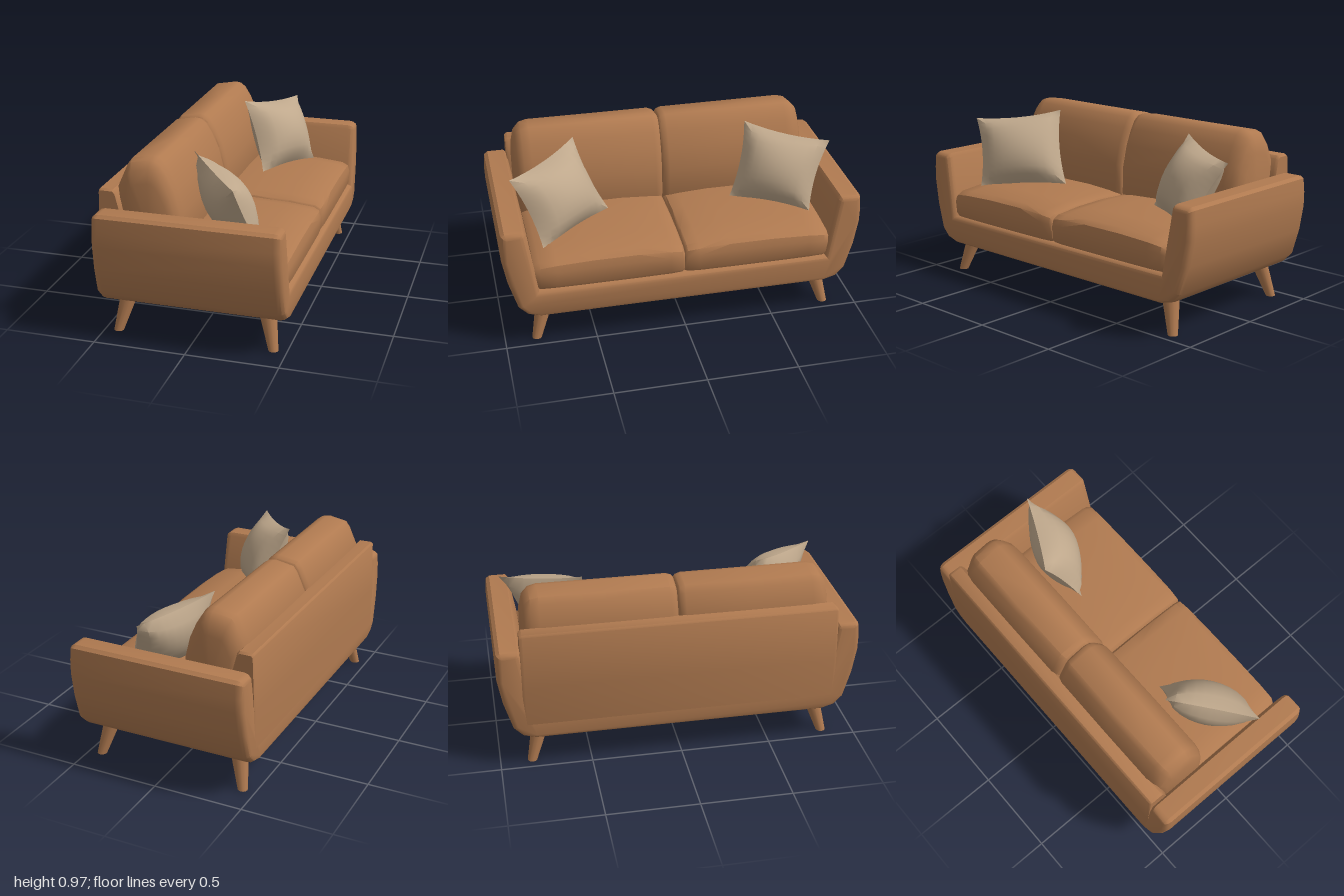
import * as THREE from 'three';
import { toCreasedNormals } from 'three/addons/utils/BufferGeometryUtils.js';

const leather = new THREE.MeshStandardMaterial({ color: 0xb07a50 });
leather.name = 'tan leather';
const linen = new THREE.MeshStandardMaterial({ color: 0xbfa88c });
linen.name = 'beige linen';

function buildGeometry(positions, index, crease) {
  const g = new THREE.BufferGeometry();
  g.setAttribute('position', new THREE.Float32BufferAttribute(positions, 3));
  g.setIndex(index);
  return toCreasedNormals(g, crease);
}

// Lofts a counter-clockwise x-y profile along z. Each station is [z, x scale, y scale];
// side = -1 mirrors the solid across z = 0.
function loft(profile, centre, stations, side = 1) {
  const n = profile.length, pos = [], idx = [];
  const [cx, cy] = centre;
  const tri = (a, b, c) => (side > 0 ? idx.push(a, b, c) : idx.push(a, c, b));
  for (const [z, sx, sy] of stations)
    for (const [x, y] of profile) pos.push(cx + (x - cx) * sx, cy + (y - cy) * sy, z * side);
  const last = stations.length - 1;
  pos.push(cx, cy, stations[0][0] * side, cx, cy, stations[last][0] * side);
  const capA = n * (last + 1), capB = capA + 1;
  for (let j = 0; j < n; j++) {
    const k = (j + 1) % n;
    for (let i = 0; i < last; i++) {
      const a = i * n + j, b = i * n + k;
      tri(a, b, b + n);
      tri(a, b + n, a + n);
    }
    tri(capA, k, j);
    tri(capB, last * n + j, last * n + k);
  }
  return buildGeometry(pos, idx, 0.75);
}

// Stuffed pillow spanned between four corners, pinched along its edges
function pillow(topA, topB, bottomA, bottomB, thickness) {
  const [A, B, C, D] = [topA, topB, bottomA, bottomB].map(p => new THREE.Vector3(...p));
  const across = B.clone().sub(A).add(D).sub(C), down = C.clone().sub(A).add(D).sub(B);
  const normal = across.cross(down).normalize();
  const N = 10, pos = [], idx = [];
  for (const face of [1, -1]) {
    const start = pos.length / 3;
    for (let j = 0; j <= N; j++) for (let i = 0; i <= N; i++) {
      const u = i / N * 2 - 1, v = j / N * 2 - 1;
      const s = (1 + u * (1 - 0.09 * (1 - v * v))) / 2;
      const t = (1 + v * (1 - 0.09 * (1 - u * u))) / 2;
      const bulge = face * thickness * Math.pow((1 - u * u) * (1 - v * v), 0.6);
      const p = A.clone().lerp(B, s).lerp(C.clone().lerp(D, s), t).addScaledVector(normal, bulge);
      pos.push(p.x, p.y, p.z);
    }
    for (let j = 0; j < N; j++) for (let i = 0; i < N; i++) {
      const a = start + j * (N + 1) + i, b = a + 1, c = b + N + 1, d = a + N + 1;
      if (face > 0) idx.push(a, b, c, a, c, d);
      else idx.push(a, c, b, a, d, c);
    }
  }
  return buildGeometry(pos, idx, 0.8);
}

// U-shaped body: base and both arms in one bevelled sweep along x
function frameGeometry() {
  const half = [[0.8, 0.18], [0.87, 0.2], [0.92, 0.25], [0.965, 0.4], [0.99, 0.54], [0.992, 0.62],
    [0.985, 0.695], [0.965, 0.71], [0.87, 0.71], [0.855, 0.69], [0.8, 0.345]];
  const outline = [...half, ...half.map(([z, y]) => [-z, y]).reverse()];
  const shape = new THREE.Shape(outline.map(p => new THREE.Vector2(...p)));
  const g = new THREE.ExtrudeGeometry(shape, {
    depth: 0.93, bevelThickness: 0.04, bevelSize: 0.03, bevelOffset: -0.03, bevelSegments: 3,
  });
  g.translate(0, 0, -0.465).rotateY(Math.PI / 2);
  // The body is a little longer at the bottom than at the top
  const p = g.attributes.position;
  for (let i = 0; i < p.count; i++) p.setX(i, p.getX(i) * (1 + (0.45 - p.getY(i)) * 0.06));
  return toCreasedNormals(g, 0.6);
}

export function createModel() {
  const model = new THREE.Group();
  model.name = 'sofa';
  const add = (name, geometry, material = leather) => {
    const mesh = new THREE.Mesh(geometry, material);
    mesh.name = name;
    model.add(mesh);
    return mesh;
  };

  add('bodyAndArms', frameGeometry());

  // Back rest panel, from arm to arm
  const backProfile = [[-0.51, 0.24], [-0.36, 0.24], [-0.38, 0.7], [-0.405, 0.795], [-0.42, 0.81],
    [-0.49, 0.81], [-0.5, 0.8], [-0.512, 0.5]];
  add('backPanel', loft(backProfile, [-0.45, 0.5],
    [[-0.86, 0.9, 0.97], [-0.845, 1, 1], [0.845, 1, 1], [0.86, 0.9, 0.97]]));

  const seatProfile = [[-0.35, 0.33], [0.475, 0.33], [0.492, 0.36], [0.495, 0.45], [0.485, 0.49],
    [0.45, 0.512], [0.3, 0.53], [0.1, 0.538], [-0.1, 0.53], [-0.35, 0.5]];
  const seatStations = [[0.002, 0.97, 0.75], [0.015, 0.99, 0.86], [0.08, 1, 0.93], [0.25, 1, 1],
    [0.5, 1, 1], [0.7, 1, 0.93], [0.79, 0.995, 0.85], [0.82, 0.96, 0.7]];
  const backCushion = [[-0.38, 0.42], [-0.1, 0.42], [-0.07, 0.52], [-0.075, 0.68], [-0.105, 0.8],
    [-0.145, 0.89], [-0.18, 0.945], [-0.21, 0.967], [-0.24, 0.972], [-0.35, 0.952],
    [-0.375, 0.92], [-0.425, 0.81], [-0.41, 0.6]];
  const cushionStations = [[0.002, 0.88, 0.94], [0.012, 0.95, 0.97], [0.04, 1, 0.995], [0.4, 1.01, 0.995],
    [0.74, 1, 1], [0.785, 0.96, 0.97], [0.82, 0.85, 0.87], [0.838, 0.66, 0.68]];
  for (const [side, label] of [[1, 'left'], [-1, 'right']]) {
    add(label + 'SeatCushion', loft(seatProfile, [0.07, 0.38], seatStations, side));
    add(label + 'BackCushion', loft(backCushion, [-0.24, 0.6], cushionStations, side));

    // Tapered legs, splayed towards the corners
    for (const [end, endLabel] of [[1, 'Front'], [-1, 'Back']]) {
      const leg = new THREE.CylinderGeometry(0.049, 0.027, 0.2, 12);
      const p = leg.attributes.position;
      for (let i = 0; i < p.count; i++) {
        const drop = 0.5 - p.getY(i) / 0.2;
        p.setX(i, p.getX(i) + end * (0.38 + 0.047 * drop));
        p.setZ(i, p.getZ(i) + side * (0.768 + 0.057 * drop));
      }
      leg.translate(0, 0.1, 0);
      add(label + endLabel + 'Leg', toCreasedNormals(leg, 0.8));
    }
  }

  // Throw pillows leaning in the two corners
  add('leftPillow', pillow([0.23, 0.885, 0.9], [-0.095, 0.94, 0.51],
    [0.34, 0.5, 0.75], [0.03, 0.53, 0.34], 0.12), linen);
  add('rightPillow', pillow([-0.1, 0.93, -0.48], [0.12, 0.865, -0.92],
    [0.05, 0.53, -0.36], [0.27, 0.51, -0.77], 0.12), linen);

  return model;
}
